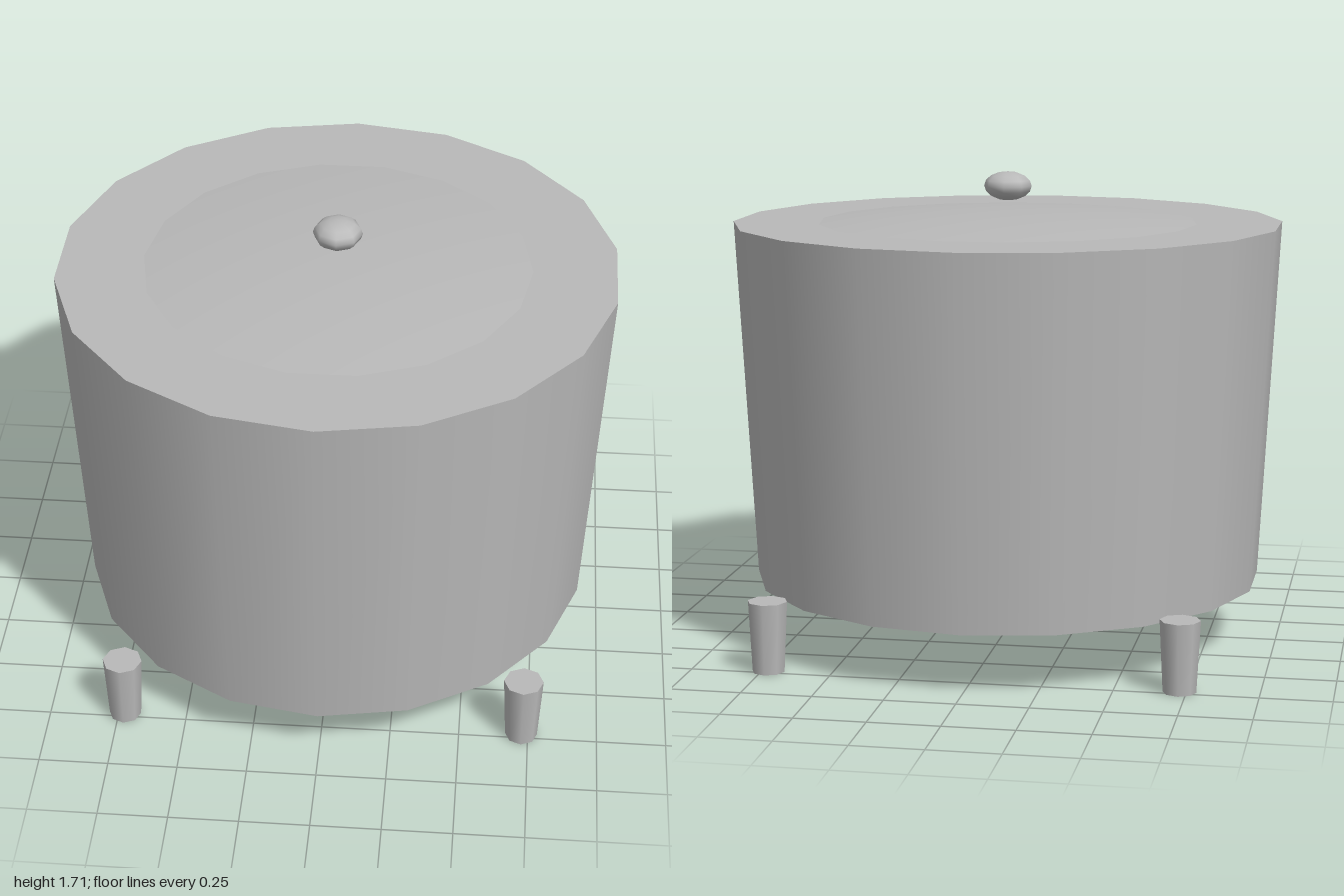
import * as THREE from 'three';

export function createModel() {
  const model = new THREE.Group();
  const grey = new THREE.MeshStandardMaterial({ color: 0xb8b8b8 });
  grey.name = 'plain grey';

  const add = (name, geometry, x, y, z) => {
    const mesh = new THREE.Mesh(geometry, grey);
    mesh.name = name;
    mesh.position.set(x, y, z);
    model.add(mesh);
    return mesh;
  };

  // Tapered tub with a closed top and bottom
  const bottom = 0.22, top = 1.527;
  add('body', new THREE.CylinderGeometry(1, 0.93, top - bottom, 18), 0, (top + bottom) / 2, 0);

  // Shallow domed lid: a cap cut from a large sphere
  const lidRadius = 0.69, lidHeight = 0.038;
  const sphereRadius = (lidRadius ** 2 + lidHeight ** 2) / (2 * lidHeight);
  const capAngle = Math.asin(lidRadius / sphereRadius);
  add('lid', new THREE.SphereGeometry(sphereRadius, 18, 6, 0, Math.PI * 2, 0, capAngle),
    0, top + lidHeight - sphereRadius, 0);

  // Flattened knob hovering over the lid
  add('knob', new THREE.SphereGeometry(0.088, 8, 8), 0, 1.656, 0).scale.y = 0.6;

  // Four tapered feet outside the corners of the tub
  const footHeight = 0.254;
  for (const x of [-1, 1]) {
    for (const z of [-1, 1]) {
      const name = (z > 0 ? 'front' : 'back') + (x > 0 ? 'Left' : 'Right') + 'Foot';
      add(name, new THREE.CylinderGeometry(0.071, 0.058, footHeight, 8), x * 0.726, footHeight / 2, z * 0.727);
    }
  }
  return model;
}
